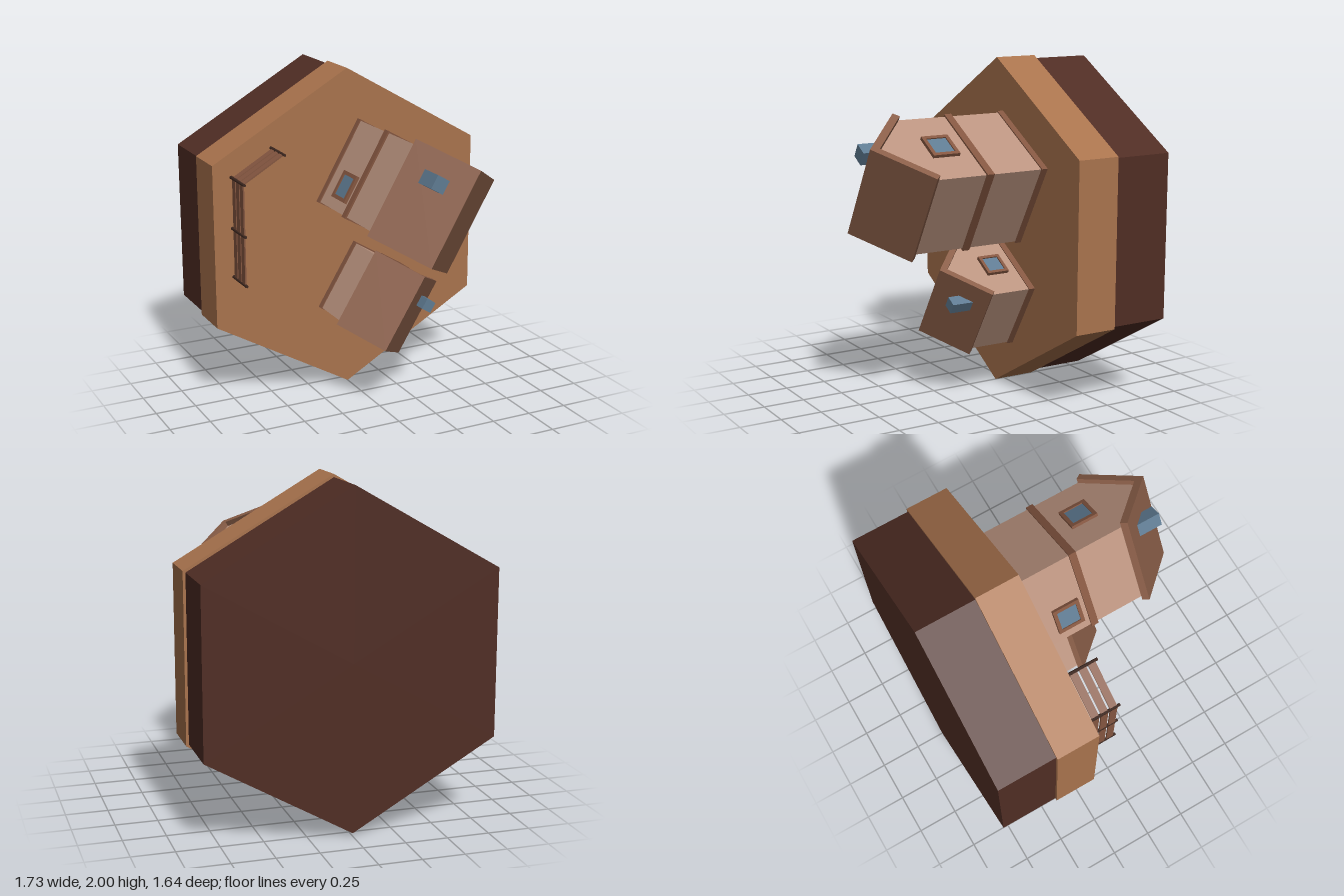
import * as THREE from 'three';

const mat = (name, color) => {
  const m = new THREE.MeshStandardMaterial({ color });
  m.name = name;
  return m;
};

export function createModel() {
  const M = {
    ground: mat('clay ground', 0xa9734d),
    soil: mat('dark soil', 0x502d24),
    wall: mat('plaster wall', 0xba937f),
    roof: mat('brown roof', 0x8a5e48),
    trim: mat('timber trim', 0x845640),
    post: mat('dark post', 0x3e2820),
    glass: mat('blue glass', 0x5f7b92),
  };

  const add = (parent, name, geometry, material, x = 0, y = 0, z = 0) => {
    const mesh = new THREE.Mesh(geometry, material);
    mesh.name = name;
    mesh.position.set(x, y, z);
    parent.add(mesh);
    return mesh;
  };
  const box = (parent, name, material, w, h, d, x, y, z) =>
    add(parent, name, new THREE.BoxGeometry(w, h, d), material, x, y, z);
  const group = (parent, name, x, y, z, turn = 0) => {
    const g = new THREE.Group();
    g.name = name;
    g.position.set(x, y, z);
    g.rotation.y = turn;
    parent.add(g);
    return g;
  };

  // Outline in x/y, extruded along z and centred
  const prism = (points, depth) => {
    const shape = new THREE.Shape(points.map(([x, y]) => new THREE.Vector2(x, y)));
    return new THREE.ExtrudeGeometry(shape, { depth, bevelEnabled: false }).translate(0, 0, -depth / 2);
  };
  // Six-sided slab with flat sides
  const hexSlab = (r, h) => {
    const g = new THREE.CylinderGeometry(r, r, h, 6).toNonIndexed();
    g.computeVertexNormals();
    return g;
  };

  // Framed window facing local -z
  const addWindow = (house, x, y, z, w, h, turn = 0) => {
    const g = group(house, 'window', x, y, z, turn);
    const t = w * 0.13;
    for (const s of [-1, 1]) {
      box(g, 'windowFrameSide', M.trim, t, h, 0.03, s * (w - t) / 2, 0, -0.005);
      box(g, 'windowFrameRail', M.trim, w - 2 * t, t, 0.03, 0, s * (h - t) / 2, -0.005);
    }
    box(g, 'windowGlass', M.glass, w - 2 * t, h - 2 * t, 0.02, 0, 0, -0.003);
  };

  // Square house with a gabled roof; s scales the footprint
  const addHouse = (parent, name, x, z, turn, s, ridge) => {
    const g = group(parent, name, x, 0, z, turn);
    const half = 0.272 * s;
    const eave = ridge - 0.275 * s;
    const apex = ridge - 0.061 * s;
    const wallTop = apex - 0.249 * s;
    add(g, 'walls', prism([[-half, 0], [half, 0], [half, wallTop], [0, apex], [-half, wallTop]], 2 * half), M.wall);
    // Roof slabs meeting at the ridge
    add(g, 'roof', prism([
      [0, ridge], [-0.3 * s, eave], [-0.27 * s, eave - 0.033 * s], [0, apex],
      [0.27 * s, eave - 0.033 * s], [0.3 * s, eave],
    ], 0.605 * s), M.roof);
    box(g, 'baseBand', M.trim, 0.558 * s, 0.038, 0.558 * s, 0, 0.019, 0);
    return g;
  };

  const root = new THREE.Group();
  root.name = 'hexVillageTile';
  // The tile stands on edge, its ground facing the front
  const tile = group(root, 'tile', 0, 1, 0);
  tile.rotation.x = Math.PI / 2;
  add(tile, 'groundSlab', hexSlab(1, 0.265), M.ground, 0, -0.3225, 0);
  add(tile, 'soilSlab', hexSlab(0.982, 0.365), M.soil, 0, -0.6375, 0);
  const land = group(tile, 'land', 0, -0.19, 0);

  // Tall house with a storey band
  const tall = addHouse(land, 'tallHouse', 0.174, -0.308, -Math.PI / 6, 1, 1.01);
  box(tall, 'storeyBand', M.trim, 0.565, 0.045, 0.565, 0, 0.378, 0);
  addWindow(tall, 0, 0.565, -0.272, 0.173, 0.17);
  addWindow(tall, -0.272, 0.24, 0.12, 0.173, 0.17, Math.PI / 2);
  box(tall, 'skylight', M.glass, 0.085, 0.185, 0.085, -0.167, 0.8725, -0.132);

  // Small house
  const small = addHouse(land, 'smallHouse', 0.118, 0.395, -0.55, 0.825, 0.535);
  addWindow(small, 0, 0.17, -0.224, 0.143, 0.14);
  box(small, 'skylight', M.glass, 0.067, 0.14, 0.067, 0.148, 0.43, -0.103);

  // Fence: posts joined by three rails
  const fence = group(land, 'fence', 0, 0, 0);
  const posts = [[-0.75, 0.19], [-0.75, -0.11], [-0.75, -0.42], [-0.497, -0.568]];
  posts.forEach(([x, z], i) => {
    add(fence, 'fencePost', new THREE.CylinderGeometry(0.009, 0.011, 0.212, 6), M.post, x, 0.1, z);
    if (i === 0) return;
    const [px, pz] = posts[i - 1];
    const dx = x - px, dz = z - pz;
    const span = group(fence, 'fenceSpan', (x + px) / 2, 0, (z + pz) / 2, Math.atan2(-dz, dx));
    for (const y of [0.047, 0.106, 0.165]) {
      box(span, 'fenceRail', M.trim, Math.hypot(dx, dz), 0.046, 0.009, 0, y, 0);
    }
  });

  return root;
}
